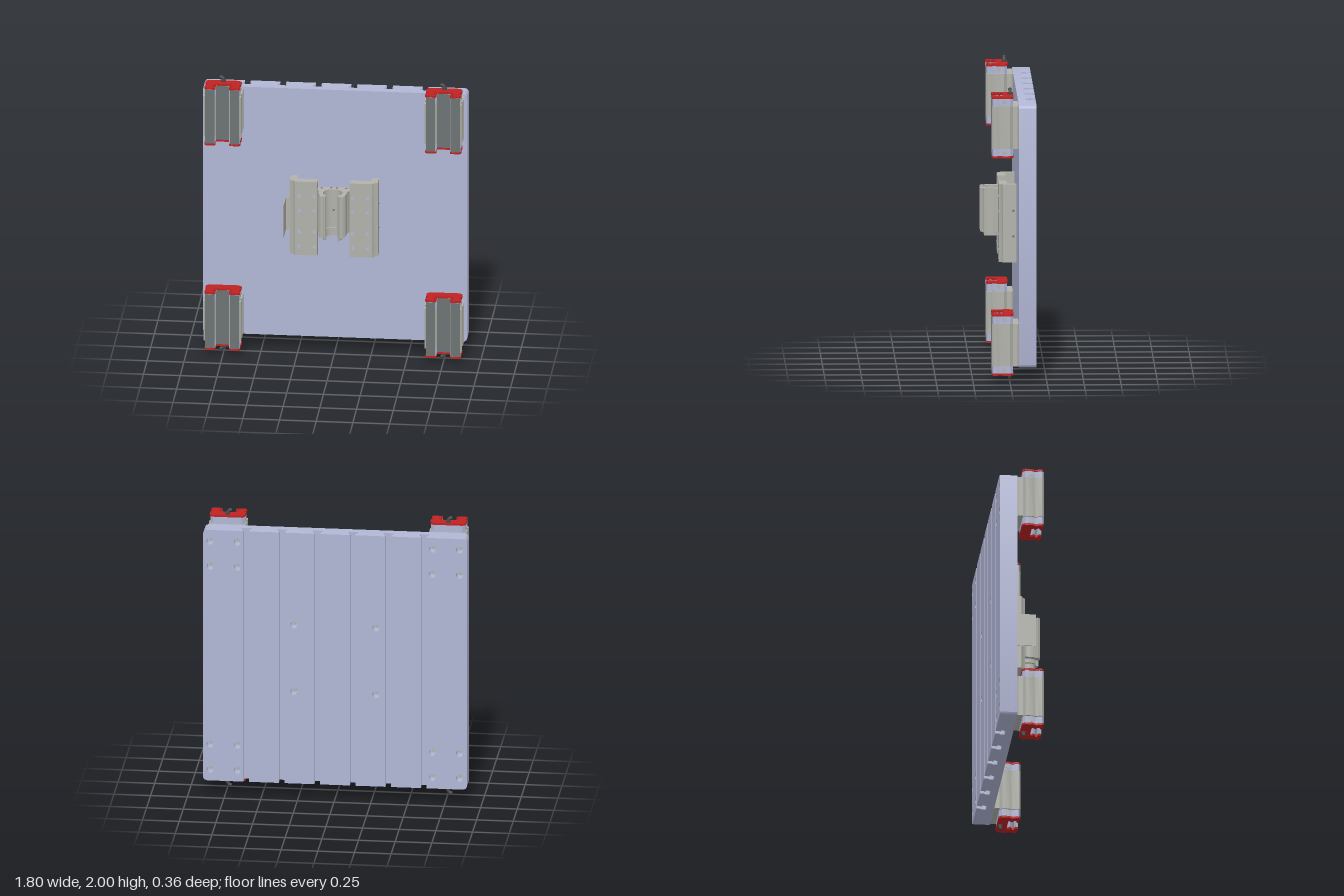
import * as THREE from 'three';
import { toCreasedNormals } from 'three/addons/utils/BufferGeometryUtils.js';

const mat = (color) => new THREE.MeshStandardMaterial({ color, side: THREE.DoubleSide });
const lavender = mat(0xb2b7d6), steel = mat(0xb2b2ab), dark = mat(0x6c7474), red = mat(0xc02222), black = mat(0x4a4c4c);

function add(parent, name, geo, material, x = 0, y = 0, z = 0) {
  const m = new THREE.Mesh(geo, material);
  m.name = name;
  m.position.set(x, y, z);
  parent.add(m);
  return m;
}

const box = (w, h, d) => new THREE.BoxGeometry(w, h, d);
const poly = (pts) => new THREE.Shape(pts.map(([x, y]) => new THREE.Vector2(x, y)));
const hole = (x, y, r) => new THREE.Path().absarc(x, y, r, 0, Math.PI * 2, true);
const extrude = (shape, depth) => toCreasedNormals(
  new THREE.ExtrudeGeometry(shape, { depth, bevelEnabled: false, curveSegments: 16 }), 0.6);

// Extrude an (x, z) outline upwards between two heights
const column = (shape, y0, y1) => extrude(shape, y1 - y0).rotateX(Math.PI / 2).translate(0, y1, 0);

// Plate outline whose left and right corners can be rounded separately
function panel(x0, x1, rl, rr) {
  const y0 = 0.1, y1 = 1.9, s = new THREE.Shape();
  s.moveTo(x0 + rl, y0).lineTo(x1 - rr, y0);
  if (rr) s.absarc(x1 - rr, y0 + rr, rr, -Math.PI / 2, 0, false);
  s.lineTo(x1, y1 - rr);
  if (rr) s.absarc(x1 - rr, y1 - rr, rr, 0, Math.PI / 2, false);
  s.lineTo(x0 + rl, y1);
  if (rl) s.absarc(x0 + rl, y1 - rl, rl, Math.PI / 2, Math.PI, false);
  s.lineTo(x0, y0 + rl);
  if (rl) s.absarc(x0 + rl, y0 + rl, rl, Math.PI, Math.PI * 1.5, false);
  return s;
}

function makePlate() {
  const g = new THREE.Group(), r = 0.03;
  g.name = 'slottedPlate';
  const bolts = [];
  for (const s of [-1, 1]) {
    for (const x of [0.665, 0.85]) for (const y of [0.18, 0.36, 1.64, 1.82]) bolts.push([s * x, y]);
    for (const y of [0.76, 1.24]) bolts.push([s * 0.28, y]);
  }
  add(g, 'plateFront', extrude(panel(-0.9, 0.9, r, r), 0.053), lavender, 0, 0, -0.113);

  // Strips between the T-slots: narrow beside the slot heads, wide at the back face
  const slots = [-0.605, -0.363, -0.121, 0.121, 0.363, 0.605];
  for (const [half, z, depth] of [[0.031, -0.145, 0.032], [0.02, -0.18, 0.035]]) {
    for (let i = 0; i <= slots.length; i++) {
      const first = i === 0, last = i === slots.length;
      const x0 = first ? -0.9 : slots[i - 1] + half, x1 = last ? 0.9 : slots[i] - half;
      const shape = panel(x0, x1, first ? r : 0, last ? r : 0);
      for (const [x, y] of bolts) if (x > x0 && x < x1) shape.holes.push(hole(x, y, 0.025));
      add(g, 'plateStrip', extrude(shape, depth), lavender, 0, 0, z);
    }
  }
  // Bolt heads at the bottom of the counterbores
  for (const [x, y] of bolts) {
    add(g, 'plateBolt', new THREE.CylinderGeometry(0.014, 0.014, 0.02, 16).rotateX(Math.PI / 2), steel, x, y, -0.12);
  }
  return g;
}

// Carriage outline around the rail channel, mirrored about x = 0
function carriageShape(half, back) {
  const h = [
    [half - 0.02, back], [half, back + 0.02], [half, 0.045], [half - 0.01, 0.06], [half - 0.01, 0.075],
    [half, 0.09], [half, 0.11], [half - 0.012, 0.122], [0.052, 0.122], [0.046, 0.108],
    [0.072, 0.095], [0.072, 0.085], [0.047, 0.07], [0.068, 0.055], [0.058, 0.045],
  ];
  return poly([...h, ...h.map(([x, z]) => [-x, z]).reverse()]);
}

function makeCarriage(lean) {
  const g = new THREE.Group();
  g.name = 'carriage';
  add(g, 'carriageBlock', column(carriageShape(0.128, -0.02), -0.145, 0.145), steel);
  add(g, 'carriageTop', column(poly([[-0.128, -0.02], [-0.128, -0.05], [-0.118, -0.06],
    [0.118, -0.06], [0.128, -0.05], [0.128, -0.02]]), -0.145, 0.145), steel);
  for (const s of [-1, 1]) {
    // End cap, red wiper and side plugs
    const y = s * 0.17;
    add(g, 'endCap', column(carriageShape(0.118, -0.022), y - 0.026, y + 0.026), lavender);
    add(g, 'wiper', column(carriageShape(0.122, -0.025), s * 0.203 - 0.007, s * 0.203 + 0.007), red);
    for (const side of [-1, 1]) {
      add(g, 'sidePlug', new THREE.CylinderGeometry(0.014, 0.014, 0.006, 16).rotateZ(Math.PI / 2),
        steel, side * 0.118, s * 0.175, 0.037);
    }
    // Dark seals facing the rail
    add(g, 'lowerSeal', box(0.062, 0.39, 0.006), dark, s * 0.084, 0, 0.121);
    add(g, 'innerSeal', box(0.004, 0.39, 0.014), dark, s * 0.071, 0, 0.09);
  }
  add(g, 'channelSeal', box(0.116, 0.39, 0.004), dark, 0, 0, 0.046);

  // Grease nipple with a bent tip
  add(g, 'nippleBase', new THREE.CylinderGeometry(0.016, 0.016, 0.016, 6), black, 0, 0.217, -0.003);
  const bend = new THREE.QuadraticBezierCurve3(new THREE.Vector3(0, 0.215, -0.003),
    new THREE.Vector3(0, 0.236, -0.003), new THREE.Vector3(lean * 0.018, 0.243, -0.003));
  add(g, 'nippleElbow', new THREE.TubeGeometry(bend, 8, 0.011, 10), black);
  add(g, 'nippleTip', new THREE.SphereGeometry(0.012, 12, 8), black, lean * 0.019, 0.243, -0.003);
  return g;
}

function makeNutMount() {
  const g = new THREE.Group();
  g.name = 'nutMount';
  // Angled side brackets with screws
  for (const s of [-1, 1]) {
    const outline = [[0.3, -0.06], [0.3, 0.032], [0.275, 0.042], [0.262, 0.06], [0.11, 0.06],
      [0.11, 0.004], [0.25, 0.004], [0.255, -0.06]];
    add(g, 'sideBracket', column(poly(outline.map(([x, z]) => [s * x, z])), 0.735, 1.27), steel);
    for (const x of [0.13, 0.232]) for (const y of [0.8, 0.905, 1.06, 1.165]) {
      add(g, 'bracketScrew', new THREE.CylinderGeometry(0.012, 0.012, 0.006, 16).rotateX(Math.PI / 2),
        lavender, s * x, y, 0.059);
    }
    for (const y of [0.915, 1.09]) {
      add(g, 'bracketPin', new THREE.CylinderGeometry(0.008, 0.008, 0.004, 12).rotateZ(Math.PI / 2),
        dark, s * 0.3, y, -0.038);
    }
  }

  // Open C-shaped housing whose mouth faces forward
  const cRing = (inner, outer, gap) => {
    const s = new THREE.Shape(), a = Math.PI / 2 + gap, b = Math.PI * 2.5 - gap;
    s.absarc(0, 0.105, outer, a, b, false);
    s.absarc(0, 0.105, inner, b, a, true);
    s.closePath();
    return s;
  };
  add(g, 'housingRing', column(cRing(0.066, 0.096, 0.62), 0.915, 1.215), steel);
  for (const s of [-1, 1]) {
    add(g, 'housingLip', column(poly([[s * 0.04, 0.15], [s * 0.075, 0.15], [s * 0.09, 0.165],
      [s * 0.075, 0.18], [s * 0.045, 0.18]]), 0.915, 1.215), steel);
    add(g, 'housingShoulder', column(poly([[s * 0.055, 0.03], [s * 0.11, 0.03], [s * 0.11, 0.06],
      [s * 0.094, 0.085], [s * 0.08, 0.07]]), 0.915, 1.215), steel);
    for (const [x, z] of [[0.083, 0.022], [0.02, 0.014]]) {
      add(g, 'housingScrew', new THREE.CylinderGeometry(0.008, 0.008, 0.004, 12), dark, s * x, 1.215, z);
    }
  }
  add(g, 'housingBase', box(0.22, 0.3, 0.034), steel, 0, 1.065, 0.019);
  add(g, 'bearingLip', column(cRing(0.055, 0.068, 0.75), 0.885, 0.94), steel);
  add(g, 'oilHole', new THREE.CylinderGeometry(0.007, 0.007, 0.004, 12).rotateX(Math.PI / 2), dark, 0, 1.065, 0.039);

  // Thin bent sheet beside the right bracket
  add(g, 'sensorFlag', column(poly([[-0.3, -0.026], [-0.3, -0.021], [-0.332, -0.021], [-0.332, 0.125],
    [-0.337, 0.125], [-0.337, -0.026]]), 0.885, 1.12), steel);
  return g;
}

export function createModel() {
  const model = new THREE.Group();
  model.name = 'linearStage';
  model.add(makePlate(), makeNutMount());
  // Four carriages, the lower pair turned upside down
  for (const x of [-0.752, 0.752]) {
    for (const top of [true, false]) {
      const c = makeCarriage(top ? -1 : 1);
      c.position.set(x, top ? 1.745 : 0.255, 0);
      if (!top) c.rotation.z = Math.PI;
      model.add(c);
    }
  }
  return model;
}
